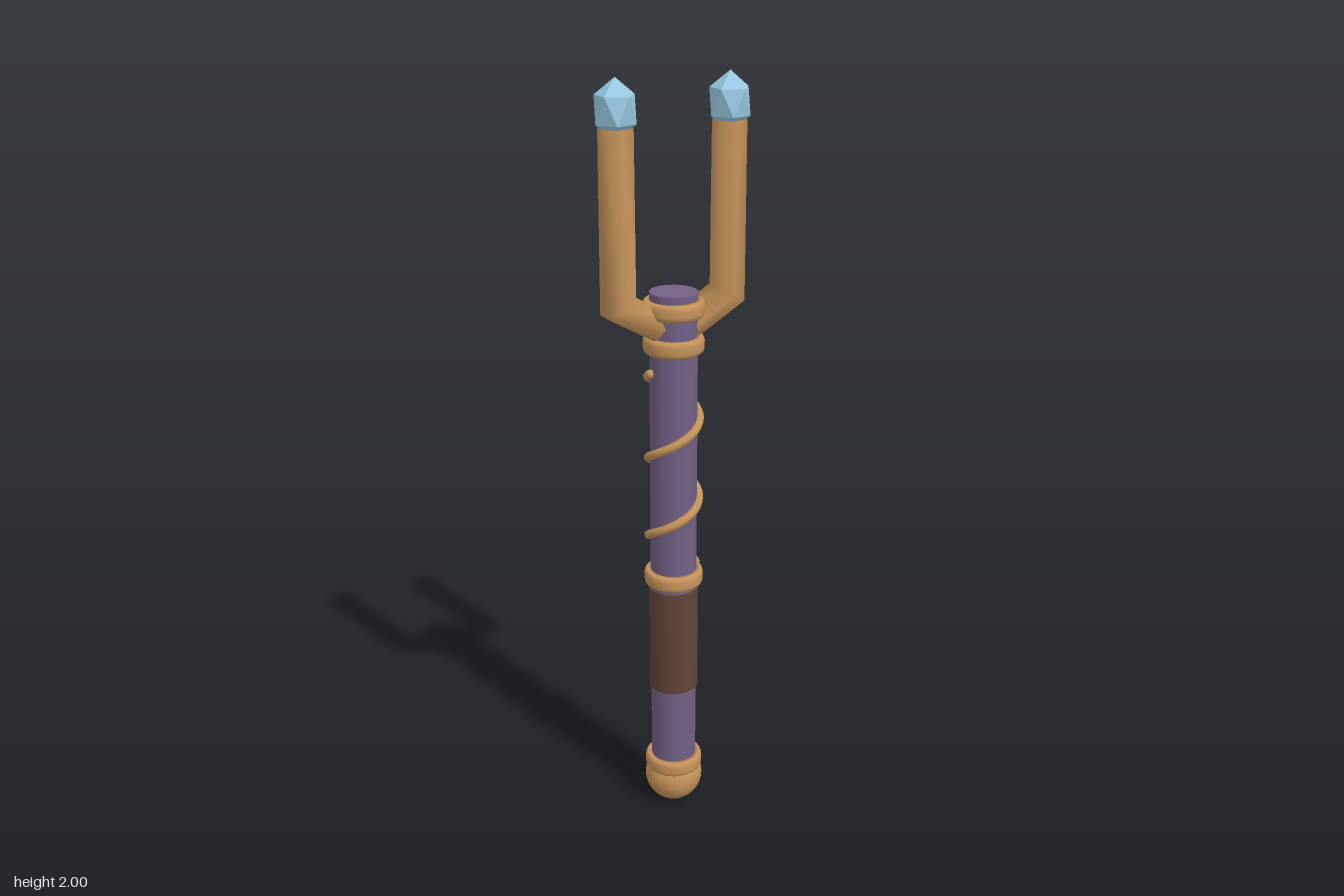
import * as THREE from 'three';

const material = (color, flatShading = false) => new THREE.MeshStandardMaterial({ color, flatShading });

// Helical path climbing round the shaft
class Helix extends THREE.Curve {
  getPoint(t, target = new THREE.Vector3()) {
    const a = Math.PI / 2 + t * Math.PI * 5;
    return target.set(0.066 * Math.sin(a), 0.725 + 0.55 * t, 0.066 * Math.cos(a));
  }
}

// Skin a list of equal-sized rings, counterclockwise from above, with pointed or flat ends
function loft(rings, start, end) {
  const n = rings[0].length, pos = [], index = [];
  rings.flat().forEach(p => pos.push(...p));
  for (let r = 0; r < rings.length - 1; r++) {
    for (let i = 0; i < n; i++) {
      const a = r * n + i, b = r * n + (i + 1) % n;
      index.push(a, b, a + n, b, b + n, a + n);
    }
  }
  const s = pos.length / 3, top = (rings.length - 1) * n;
  pos.push(...start, ...end);
  for (let i = 0; i < n; i++) {
    const j = (i + 1) % n;
    index.push(s, j, i, s + 1, top + i, top + j);
  }
  const g = new THREE.BufferGeometry();
  g.setAttribute('position', new THREE.Float32BufferAttribute(pos, 3));
  g.setIndex(index);
  g.computeVertexNormals();
  return g;
}

// Six-sided prong with a mitred elbow; side is +1 or -1
function prongGeometry(side) {
  // centre x, centre y, half width, slope of the section plane
  const sections = [[0.03, 1.39, 0.022, -1.73], [0.15, 1.46, 0.044, -0.57], [0.15, 1.885, 0.042, 0]];
  const rings = sections.map(([cx, cy, w, slope]) => Array.from({ length: 6 }, (_, i) => {
    const a = i * Math.PI / 3 + Math.PI / 2;
    const u = w * Math.cos(a);
    return [side * cx + u, cy + side * u * slope, -0.044 * Math.sin(a)];
  }));
  const centre = ([x, y]) => [side * x, y, 0];
  return loft(rings, centre(sections[0]), centre(sections[2]));
}

// Tall twenty-faced gem standing on a point
function gemGeometry() {
  const ring = (y, turn) => Array.from({ length: 5 }, (_, i) => {
    const a = (i * 2 + turn) * Math.PI / 5;
    return [0.05 * Math.cos(a), y, -0.05 * Math.sin(a)];
  });
  return loft([ring(-0.0326, -1), ring(0.0326, 0)], [0, -0.073, 0], [0, 0.073, 0]);
}

export function createModel() {
  const model = new THREE.Group();
  const gold = material(0xc6935a), purple = material(0x726084);
  const leather = material(0x5f4436), crystal = material(0x98cae3, true);

  const add = (name, geometry, mat, x = 0, y = 0) => {
    const mesh = new THREE.Mesh(geometry, mat);
    mesh.name = name;
    mesh.position.set(x, y, 0);
    model.add(mesh);
  };

  // Shaft, grip and pommel
  add('shaft', new THREE.CylinderGeometry(0.061, 0.061, 1.4, 32), purple, 0, 0.78);
  add('grip', new THREE.CylinderGeometry(0.066, 0.066, 0.3, 32), leather, 0, 0.52);
  add('pommel', new THREE.SphereGeometry(0.079, 32, 20), gold, 0, 0.079);

  // Rounded collars, closed on the inside
  const profile = [[0.056, -0.021], [0.071, -0.021], [0.0755, -0.017], [0.078, -0.009],
    [0.078, 0.009], [0.0755, 0.017], [0.071, 0.021], [0.056, 0.021], [0.056, -0.021]];
  const collar = new THREE.LatheGeometry(profile.map(p => new THREE.Vector2(...p)), 32);
  [['lowerCollar', 0.128], ['gripCollar', 0.703], ['forkCollar', 1.347], ['topCollar', 1.44]]
    .forEach(([name, y]) => add(name, collar, gold, 0, y));

  // Wire spiral with rounded ends
  const helix = new Helix();
  add('spiralWire', new THREE.TubeGeometry(helix, 120, 0.0115, 8, false), gold);
  [0, 1].forEach(t => {
    const p = helix.getPoint(t);
    add('wireEnd', new THREE.SphereGeometry(0.0115, 8, 6), gold, p.x, p.y);
  });

  // Fork prongs and their gem tips
  const gem = gemGeometry();
  for (const side of [1, -1]) {
    const label = side > 0 ? 'left' : 'right';
    add(label + 'Prong', prongGeometry(side), gold);
    add(label + 'Gem', gem, crystal, side * 0.15, 1.927);
  }
  return model;
}
